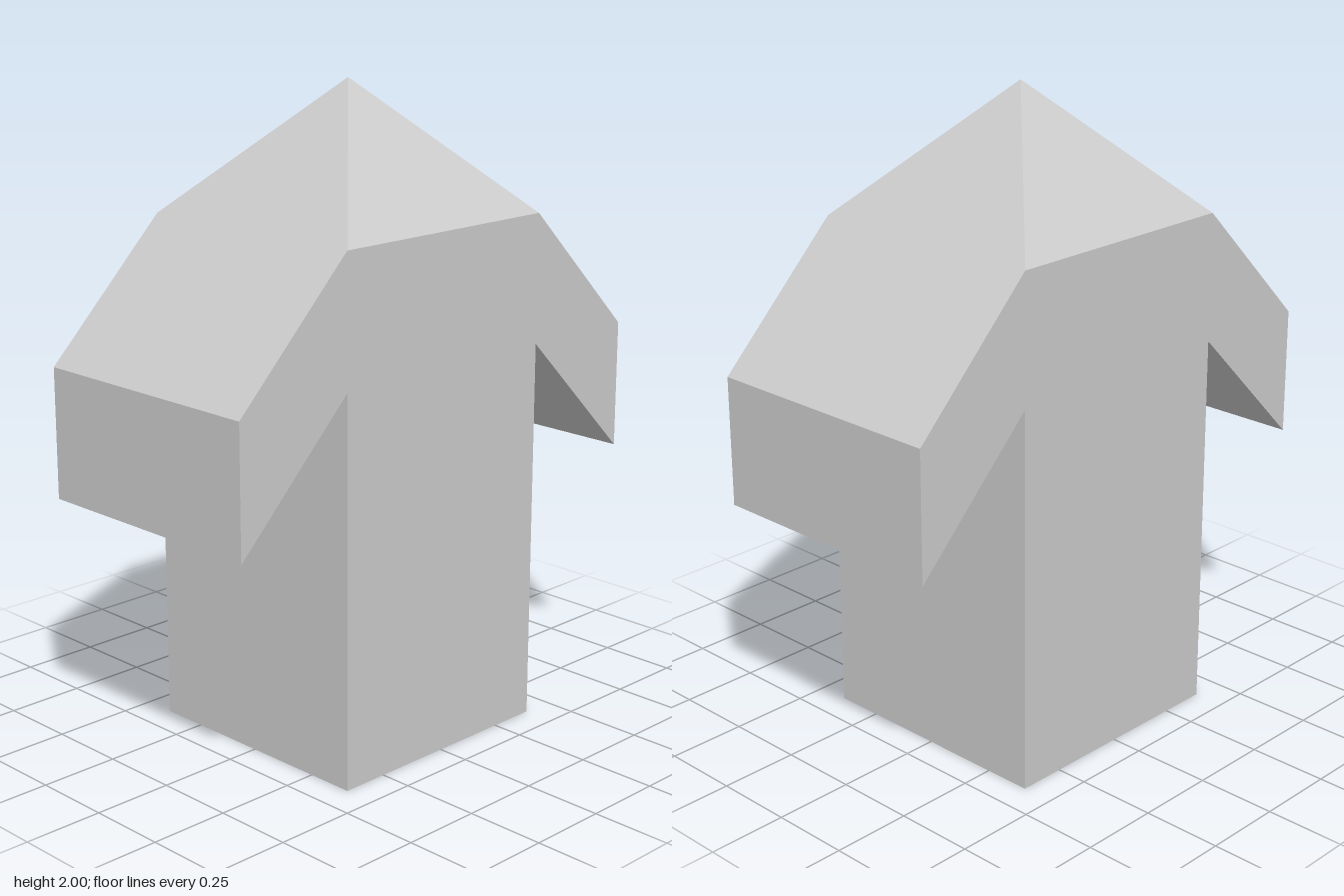
import * as THREE from 'three';

export function createModel() {
  const group = new THREE.Group();
  const material = new THREE.MeshStandardMaterial({ color: 0xcccccc, flatShading: true });
  const half = 0.4; // half width of the square post

  // Post with sloping eaves: half of the side profile, mirrored and extruded across x
  const side = [[half, 0], [half, 1.2], [0.8, 0.8], [0.8, 1.2], [half, 1.6]];
  const mirrored = side.map(([z, y]) => [-z, y]).reverse();
  const profile = new THREE.Shape([...side, ...mirrored].map(([z, y]) => new THREE.Vector2(z, y)));
  const bodyGeometry = new THREE.ExtrudeGeometry(profile, { depth: 2 * half, bevelEnabled: false });
  bodyGeometry.translate(0, 0, -half).rotateY(Math.PI / 2);
  const body = new THREE.Mesh(bodyGeometry, material);
  body.name = 'postWithEaves';
  group.add(body);

  // Four-sided roof peak whose front and back faces continue the eaves
  const peakGeometry = new THREE.ConeGeometry(half * Math.SQRT2, 0.4, 4, 1, true);
  peakGeometry.rotateY(Math.PI / 4).translate(0, 1.8, 0);
  const peak = new THREE.Mesh(peakGeometry, material);
  peak.name = 'roofPeak';
  group.add(peak);

  return group;
}
